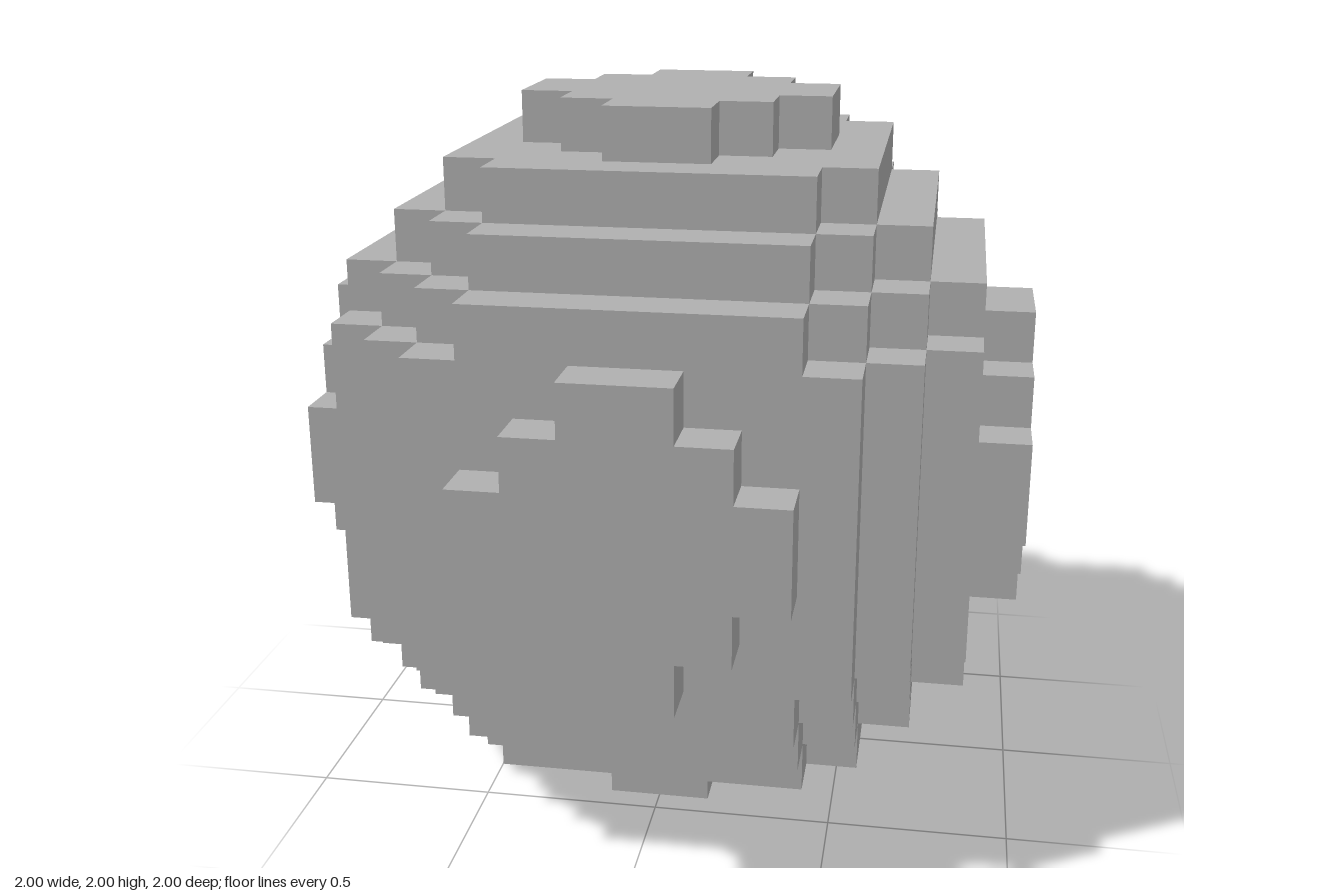
import * as THREE from 'three';
import { mergeGeometries } from 'three/addons/utils/BufferGeometryUtils.js';

const RADIUS = 7;            // sphere radius in blocks
const BLOCK = 1 / RADIUS;    // block size in units

// A block is solid when its centre lies inside the sphere
const solid = (p) => p.lengthSq() <= RADIUS * RADIUS;

export function createModel() {
  const grey = new THREE.MeshStandardMaterial({ color: 0xb0b0b0 });
  grey.name = 'stoneGrey';

  // One outward-facing square for each of the six directions
  const forward = new THREE.Vector3(0, 0, 1);
  const sides = [[1, 0, 0], [-1, 0, 0], [0, 1, 0], [0, -1, 0], [0, 0, 1], [0, 0, -1]].map((d) => {
    const dir = new THREE.Vector3(...d);
    const turn = new THREE.Quaternion().setFromUnitVectors(forward, dir);
    const face = new THREE.PlaneGeometry(1, 1).applyQuaternion(turn);
    face.translate(dir.x / 2, dir.y / 2, dir.z / 2);
    return { dir, face };
  });

  // Keep only the block faces that look out into empty space
  const faces = [];
  for (let x = 0.5 - RADIUS; x < RADIUS; x++) {
    for (let y = 0.5 - RADIUS; y < RADIUS; y++) {
      for (let z = 0.5 - RADIUS; z < RADIUS; z++) {
        const centre = new THREE.Vector3(x, y, z);
        if (!solid(centre)) continue;
        for (const { dir, face } of sides) {
          if (!solid(centre.clone().add(dir))) faces.push(face.clone().translate(x, y, z));
        }
      }
    }
  }

  // Stepped sphere, standing on the ground
  const geometry = mergeGeometries(faces);
  geometry.scale(BLOCK, BLOCK, BLOCK);
  geometry.translate(0, 1, 0);
  const sphere = new THREE.Mesh(geometry, grey);
  sphere.name = 'blockSphere';

  const model = new THREE.Group();
  model.name = 'steppedSphere';
  model.add(sphere);
  return model;
}
